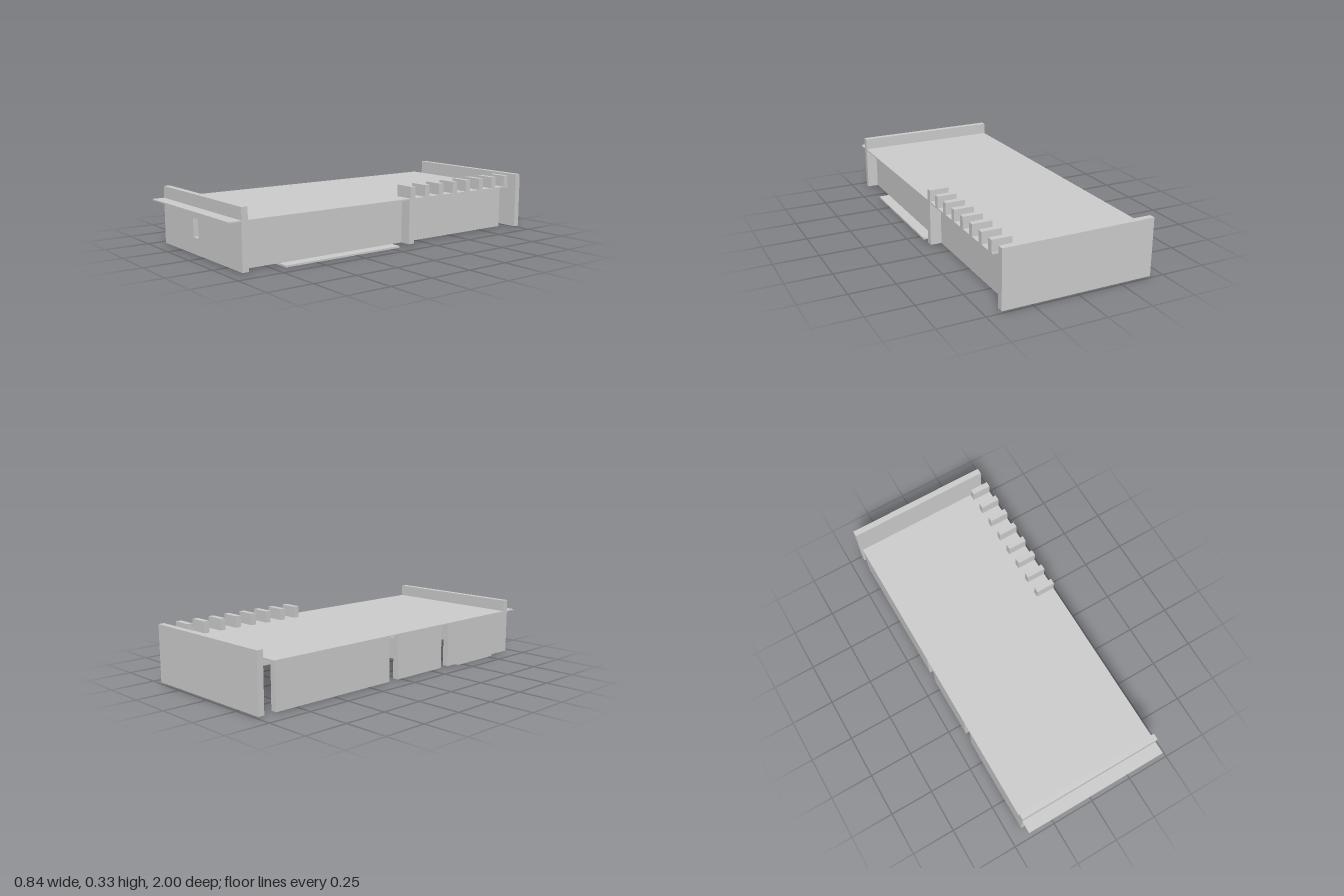
import * as THREE from 'three';

export function createModel() {
  const model = new THREE.Group();
  const material = new THREE.MeshStandardMaterial({ color: 0xcccccc, flatShading: true });

  // Box given by its extents along each axis
  function block(name, [x0, x1], [y0, y1], [z0, z1]) {
    const mesh = new THREE.Mesh(new THREE.BoxGeometry(x1 - x0, y1 - y0, z1 - z0), material);
    mesh.position.set((x0 + x1) / 2, (y0 + y1) / 2, (z0 + z1) / 2);
    mesh.name = name;
    model.add(mesh);
  }

  // Wall across x with rectangular openings [x0, x1, y0, y1]
  function crossWall(name, x0, x1, y0, y1, z0, z1, openings) {
    const rect = (Kind, a, b, c, d) => {
      const s = new Kind();
      s.moveTo(a, c);
      s.lineTo(b, c);
      s.lineTo(b, d);
      s.lineTo(a, d);
      s.closePath();
      return s;
    };
    const shape = rect(THREE.Shape, x0, x1, y0, y1);
    for (const o of openings) shape.holes.push(rect(THREE.Path, ...o));
    const mesh = new THREE.Mesh(
      new THREE.ExtrudeGeometry(shape, { depth: z1 - z0, bevelEnabled: false }), material);
    mesh.position.z = z0;
    mesh.name = name;
    model.add(mesh);
  }

  const W = 0.42;              // half width
  const BASE = 0.01;           // underside of the walls
  const EAVE = 0.256;          // underside of the roof
  const ROOF = 0.263;          // top of the roof
  const TOP = 0.328;           // parapet height
  const T = 0.035;             // wall thickness
  const wallY = [BASE, EAVE];

  // Flat roof and the two tall end walls
  block('roof', [-W, W], [EAVE, ROOF], [-0.9, 1]);
  crossWall('frontWall', -W, W, BASE, TOP, 0.895, 0.93, [[-0.08, -0.025, 0.1, 0.202]]);
  block('backWall', [-W, W], [BASE, TOP], [-1, -0.965]);

  // Recessed wall on the left, under the roof overhang
  block('leftWallFront', [0.357 - T, 0.357], wallY, [-0.12, 0.9]);
  block('leftWallBack', [0.357 - T, 0.357], wallY, [-0.895, -0.15]);

  // Right wall in three lengths with door gaps between
  for (const z of [[-0.895, -0.12], [-0.05, 0.31], [0.37, 0.9]]) {
    block('rightWall', [-W, -W + T], wallY, z);
  }

  // Partition with a full-height doorway
  block('rearPartition', [0, W], wallY, [-0.155, -0.117]);
  block('rearPartition', [-W, -0.09], wallY, [-0.155, -0.117]);

  // Partition with two high windows
  crossWall('middlePartition', -W + T, 0.325, BASE, EAVE, 0.275, 0.31,
    [[-0.32, -0.235, 0.138, 0.25], [-0.12, 0, 0.138, 0.25]]);

  // Row of battlements along the left edge of the roof
  for (let i = 0; i < 8; i++) {
    const z = -0.142 - i * 0.105;
    block('battlement', [0.31, W], [EAVE, TOP], [z - 0.0165, z + 0.0165]);
  }

  // Thin ground slabs at the sides
  block('leftSlab', [0.21, W], [0, BASE], [-0.05, 0.685]);
  block('rightSlab', [-W, -0.315], [0, BASE], [0.465, 0.79]);

  return model;
}
